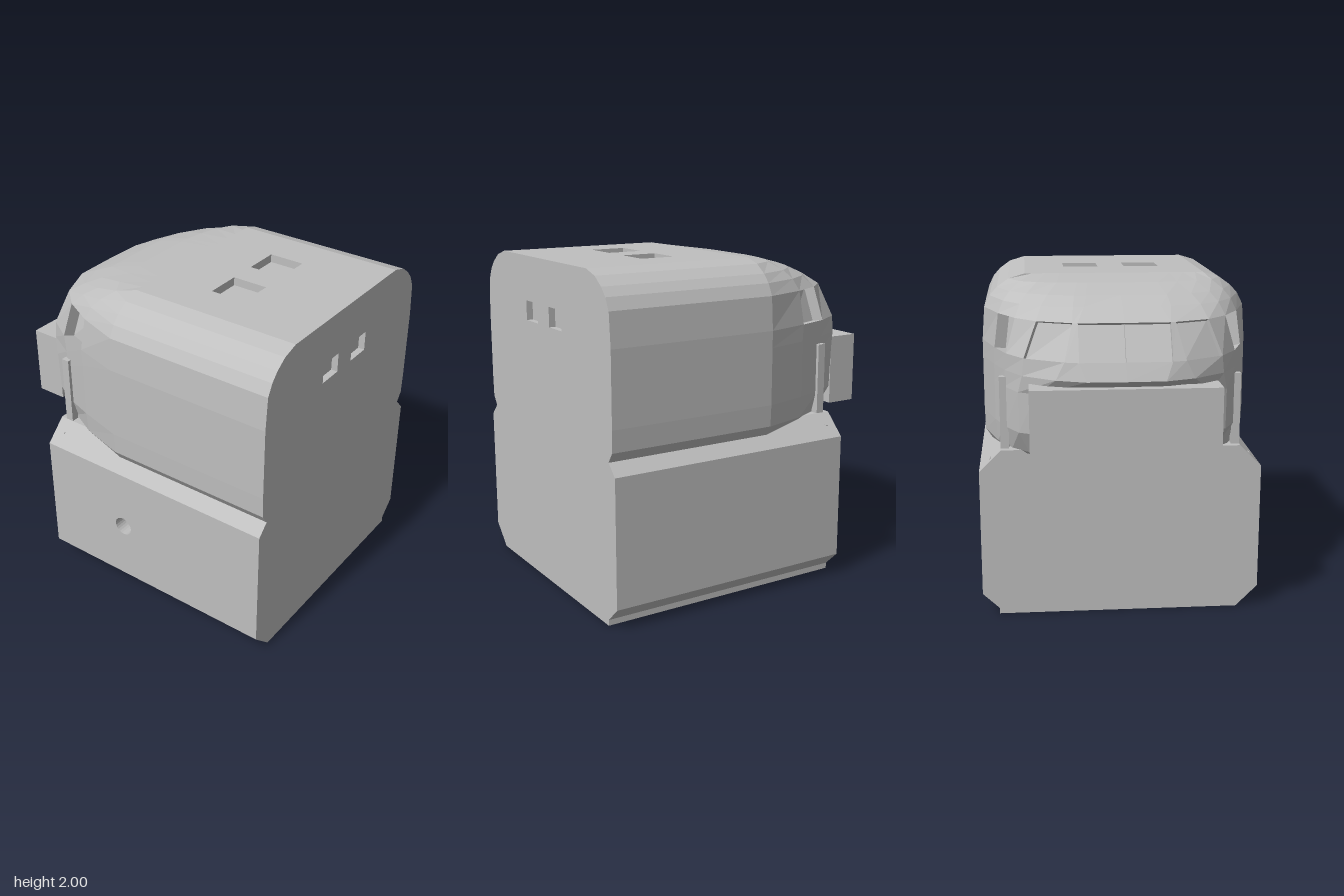
import * as THREE from 'three';

const FRONT = 0.96;
const grey = new THREE.MeshStandardMaterial({ color: 0xbfbfbf, side: THREE.DoubleSide, flatShading: true });
grey.name = 'light grey';

function add(group, name, geometry) {
  const mesh = new THREE.Mesh(geometry, grey);
  mesh.name = name;
  group.add(mesh);
  return mesh;
}

// Mesh made of four-cornered faces, corners counter-clockwise from outside
function quadGeometry(quads) {
  const pos = [];
  for (const [a, b, c, d] of quads) for (const p of [a, b, c, a, c, d]) pos.push(p.x, p.y, p.z);
  const g = new THREE.BufferGeometry();
  g.setAttribute('position', new THREE.Float32BufferAttribute(pos, 3));
  g.computeVertexNormals();
  return g;
}

const v3 = (x, y, z) => new THREE.Vector3(x, y, z);
const shapeOf = (pts) => new THREE.Shape(pts.map(([x, y]) => new THREE.Vector2(x, y)));

// Recess behind an opening: four reveals and a pane
function pocket(corners, depth) {
  const [a, b, , d] = corners;
  const n = b.clone().sub(a).cross(d.clone().sub(a)).normalize();
  const inner = corners.map((p) => p.clone().addScaledVector(n, -depth));
  const quads = corners.map((p, i) => {
    const j = (i + 1) % 4;
    return [p, corners[j], inner[j], inner[i]];
  });
  return quadGeometry([...quads, inner]);
}

const rectangle = (x0, x1, y0, y1) => [[x0, y0], [x1, y0], [x1, y1], [x0, y1]];
const cut = (shape, pts) => shape.holes.push(new THREE.Path(pts.map(([x, y]) => new THREE.Vector2(x, y))));

// Plan outlines by height: y, half width, then five x,z points round the nose
const LEVELS = [
  [0.97, 0.77, 0.69, -0.37, 0.59, -0.52, 0.49, -0.58, 0.36, -0.61, 0.25, -0.61],
  [1.03, 0.81, 0.73, -0.38, 0.64, -0.56, 0.54, -0.67, 0.40, -0.71, 0.25, -0.72],
  [1.16, 0.815, 0.74, -0.38, 0.68, -0.56, 0.60, -0.71, 0.50, -0.765, 0.25, -0.78],
  [1.40, 0.815, 0.74, -0.38, 0.68, -0.56, 0.60, -0.72, 0.50, -0.78, 0.25, -0.81],
  [1.50, 0.815, 0.74, -0.38, 0.675, -0.57, 0.575, -0.75, 0.39, -0.89, 0.22, -0.955],
  [1.60, 0.815, 0.735, -0.39, 0.665, -0.59, 0.565, -0.75, 0.34, -0.885, 0.26, -0.91],
  [1.80, 0.80, 0.71, -0.37, 0.61, -0.56, 0.49, -0.69, 0.29, -0.775, 0.26, -0.785],
  [1.87, 0.765, 0.68, -0.34, 0.58, -0.49, 0.46, -0.58, 0.28, -0.645, 0.22, -0.65],
  [1.92, 0.72, 0.64, -0.30, 0.54, -0.41, 0.42, -0.48, 0.27, -0.53, 0.20, -0.535],
  [1.97, 0.65, 0.58, -0.23, 0.48, -0.29, 0.36, -0.32, 0.24, -0.34, 0.18, -0.345],
  [2.00, 0.55, 0.50, -0.10, 0.42, -0.10, 0.34, -0.10, 0.24, -0.10, 0.18, -0.10],
];
const WINDOW_ROW = 5;
const WINDOWS = {
  2: ['sideWindow', 0.07], 4: ['cornerWindow', 0.025], 6: ['windscreen', 0.025],
  7: ['windscreen', 0.025], 9: ['cornerWindow', 0.025], 11: ['sideWindow', 0.07],
};

function outline([y, w, ...nose]) {
  const right = [v3(w, y, FRONT), v3(w, y, -0.1)];
  for (let i = 0; i < nose.length; i += 2) right.push(v3(nose[i], y, nose[i + 1]));
  const left = right.map((p) => v3(-p.x, y, p.z)).reverse();
  return [...right, v3(0, y, nose[nose.length - 1] - (y < 1.9 ? 0.005 : 0)), ...left];
}

function buildCabin() {
  const cabin = new THREE.Group();
  cabin.name = 'cabin';
  const rows = LEVELS.map(outline);

  // Outer skin with the window openings left free
  const quads = [];
  for (let r = 0; r < rows.length - 1; r++) {
    for (let c = 0; c < rows[r].length - 1; c++) {
      const q = [rows[r][c], rows[r][c + 1], rows[r + 1][c + 1], rows[r + 1][c]];
      if (r === WINDOW_ROW && WINDOWS[c]) add(cabin, WINDOWS[c][0], pocket(q, WINDOWS[c][1]));
      else quads.push(q);
    }
  }
  add(cabin, 'cabinSkin', quadGeometry(quads));

  // Flat end wall with two small windows
  const right = LEVELS.map(([y, w]) => [w, y]);
  const wall = shapeOf([...right, ...right.map(([x, y]) => [-x, y]).reverse()]);
  for (const x of [-0.24, 0.07]) {
    const pts = rectangle(x, x + 0.16, 1.61, 1.73);
    cut(wall, pts);
    add(cabin, 'endWindow', pocket(pts.map(([px, py]) => v3(px, py, FRONT)), 0.04));
  }
  add(cabin, 'endWall', new THREE.ShapeGeometry(wall).translate(0, 0, FRONT));

  // Roof with two hatches
  const roof = shapeOf(rectangle(-0.55, 0.55, -FRONT, 0.1));
  for (const x of [-0.31, 0.08]) {
    const pts = rectangle(x, x + 0.22, -0.47, -0.25);
    cut(roof, pts);
    add(cabin, 'roofHatch', pocket(pts.map(([px, py]) => v3(px, 2, -py)), 0.05));
  }
  add(cabin, 'roof', new THREE.ShapeGeometry(roof).rotateX(-Math.PI / 2).translate(0, 2, 0));
  return cabin;
}

function buildBase() {
  const base = new THREE.Group();
  base.name = 'base';
  const back = -0.62;
  const profile = [[-0.71, 0], [0.74, 0], [0.74, 0.035], [0.84, 0.13], [0.84, 0.9],
    [0.71, 1.03], [-0.71, 1.03], [-0.84, 0.9], [-0.84, 0.13]];
  const PORT_WALL = 7;

  // Long faces
  const quads = [];
  profile.forEach(([ax, ay], i) => {
    if (i === PORT_WALL) return;
    const [bx, by] = profile[(i + 1) % profile.length];
    quads.push([v3(ax, ay, FRONT), v3(ax, ay, back), v3(bx, by, back), v3(bx, by, FRONT)]);
  });
  add(base, 'baseSides', quadGeometry(quads));
  add(base, 'baseFront', new THREE.ShapeGeometry(shapeOf(profile)).translate(0, 0, FRONT));
  const mirrored = profile.map(([x, y]) => [-x, y]).reverse();
  add(base, 'baseBack', new THREE.ShapeGeometry(shapeOf(mirrored)).rotateY(Math.PI).translate(0, 0, back));

  // Side wall with a round port
  const wall = shapeOf(rectangle(back, FRONT, 0.13, 0.9));
  const hole = new THREE.Path();
  hole.absarc(-0.04, 0.51, 0.06, 0, Math.PI * 2, true);
  wall.holes.push(hole);
  add(base, 'portWall', new THREE.ShapeGeometry(wall, 12).rotateY(-Math.PI / 2).translate(-0.84, 0, 0));
  add(base, 'portTube', new THREE.CylinderGeometry(0.06, 0.06, 0.08, 24, 1, true)
    .rotateZ(Math.PI / 2).translate(-0.8, 0.51, -0.04));
  add(base, 'portBack', new THREE.CircleGeometry(0.06, 24).rotateY(-Math.PI / 2).translate(-0.76, 0.51, -0.04));

  // Small catches on the sloping shoulders
  for (const s of [1, -1]) {
    const latch = add(base, 'shoulderCatch', new THREE.BoxGeometry(0.012, 0.008, 0.03));
    latch.position.set(s * 0.773, 0.968, -0.56);
    latch.rotation.z = -s * Math.PI / 4;
  }
  return base;
}

export function createModel() {
  const model = new THREE.Group();
  model.name = 'simulatorCabin';
  model.add(buildBase(), buildCabin());

  // Equipment box under the windscreen
  add(model, 'noseBox', new THREE.BoxGeometry(1.08, 0.43, 0.19)).position.set(0, 1.245, -0.865);

  // Upright posts beside the nose
  for (const s of [1, -1]) {
    add(model, 'sidePost', new THREE.BoxGeometry(0.05, 0.45, 0.05)).position.set(s * 0.685, 1.235, -0.555);
  }
  return model;
}
